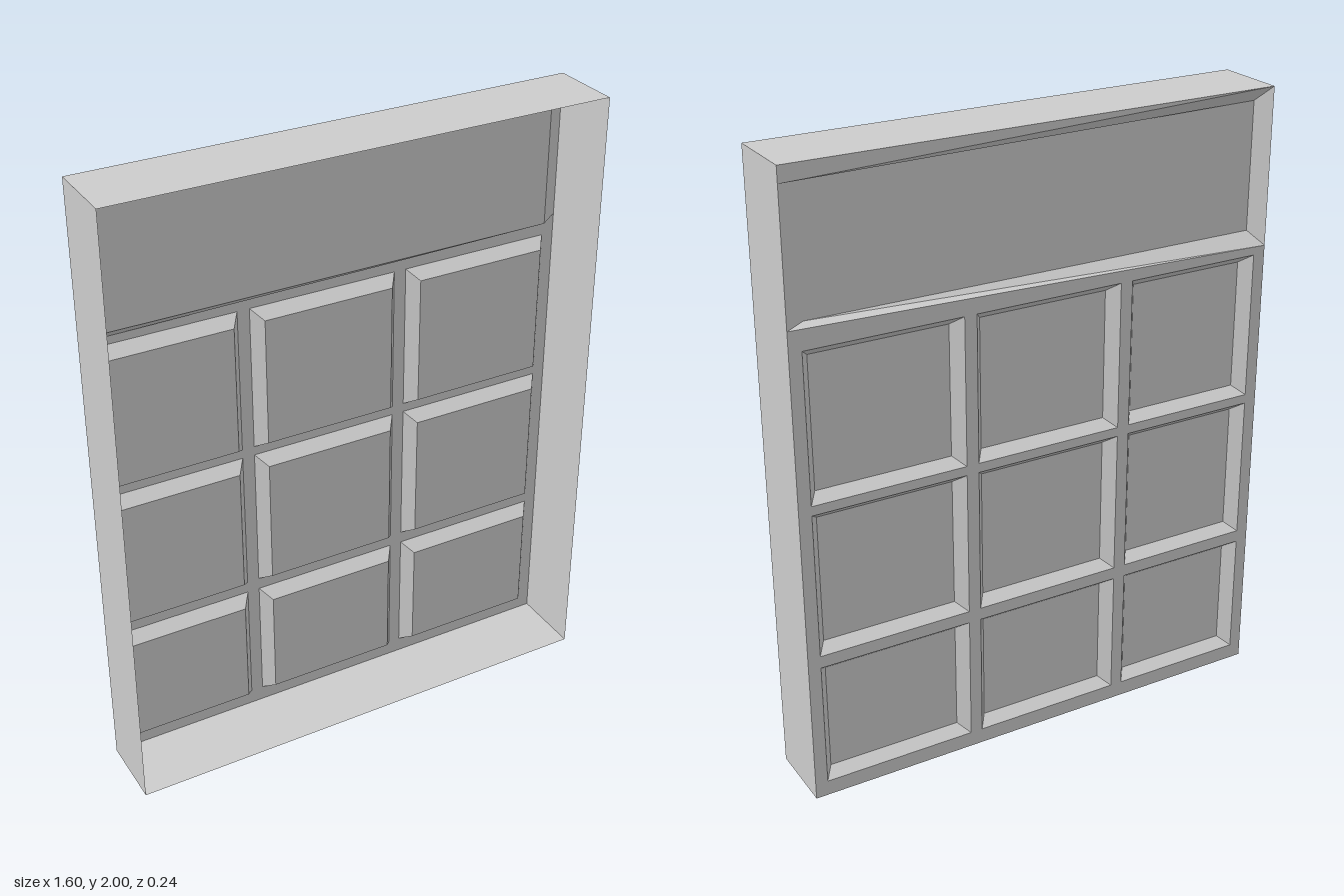
import * as THREE from 'three';

const W = 0.8, H = 2, Z = 0.118; // half width, height, half depth
const BACK = -Z;
const RAIL = 1.5; // height where the lattice ends and the top panel begins

const columns = [[-0.76, -0.31], [-0.27, 0.22], [0.26, 0.76]];
const rows = [[0.05, 0.46], [0.5, 0.97], [1.0, 1.475]];

const material = new THREE.MeshStandardMaterial({
  color: 0xcccccc, flatShading: true, side: THREE.DoubleSide,
});

// Thin sheet made of flat polygons, each a convex loop of [x, y, z] corners
function sheet(name, polygons) {
  const positions = [];
  for (const p of polygons) {
    for (let i = 1; i < p.length - 1; i++) positions.push(...p[0], ...p[i], ...p[i + 1]);
  }
  const geometry = new THREE.BufferGeometry();
  geometry.setAttribute('position', new THREE.Float32BufferAttribute(positions, 3));
  geometry.computeVertexNormals();
  const mesh = new THREE.Mesh(geometry, material);
  mesh.name = name;
  return mesh;
}

// Counter-clockwise corners of a rectangle at depth z
const rect = (x0, x1, y0, y1, z) => [[x0, y0, z], [x1, y0, z], [x1, y1, z], [x0, y1, z]];

// Raised panel: four sloped sides and a flat face
function raisedPanel(name, outer, inner) {
  const sides = outer.map((c, i) => {
    const j = (i + 1) % 4;
    return [c, outer[j], inner[j], inner[i]];
  });
  return sheet(name, [...sides, inner]);
}

export function createModel() {
  const model = new THREE.Group();
  model.name = 'panelledDoor';

  // Four thin walls around the open front
  const back = rect(-W, W, 0, H, BACK);
  const front = rect(-W, W, 0, H, Z);
  ['bottomWall', 'leftWall', 'topWall', 'rightWall'].forEach((name, i) => {
    const j = (i + 1) % 4;
    model.add(sheet(name, [[back[i], back[j], front[j], front[i]]]));
  });

  // Lattice on the back plane with nine openings
  const lattice = new THREE.Shape(rect(-W, W, 0, RAIL, 0).map(([x, y]) => new THREE.Vector2(x, y)));
  for (const [x0, x1] of columns) {
    for (const [y0, y1] of rows) {
      const corners = rect(x0, x1, y0, y1, 0).reverse();
      lattice.holes.push(new THREE.Path(corners.map(([x, y]) => new THREE.Vector2(x, y))));
    }
  }
  const latticeMesh = new THREE.Mesh(new THREE.ShapeGeometry(lattice), material);
  latticeMesh.name = 'lattice';
  latticeMesh.position.z = BACK;
  model.add(latticeMesh);

  // Nine panels pushed forward out of the lattice
  const panels = new THREE.Group();
  panels.name = 'panels';
  const inset = 0.03, rise = 0.04;
  rows.forEach(([y0, y1], r) => columns.forEach(([x0, x1], c) => {
    panels.add(raisedPanel(`panel${r * 3 + c + 1}`,
      rect(x0, x1, y0, y1, BACK),
      rect(x0 + inset, x1 - inset, y0 + inset - 0.005, y1 - inset, BACK + rise)));
  }));
  model.add(panels);

  // Wide top panel; its left slope runs straight out to the wall
  const [a, b, c, d] = rect(-W, W, RAIL, H, BACK);
  const [e, f, g, h] = rect(-0.765, 0.73, 1.54, 1.95, BACK + 0.05);
  const low = [W, 1.54, BACK], high = [W, 1.95, BACK];
  model.add(sheet('topPanel', [
    [e, f, g, h],
    [a, b, low, f, e],
    [low, high, g, f],
    [high, c, d, h, g],
    [d, a, e, h],
  ]));

  return model;
}
